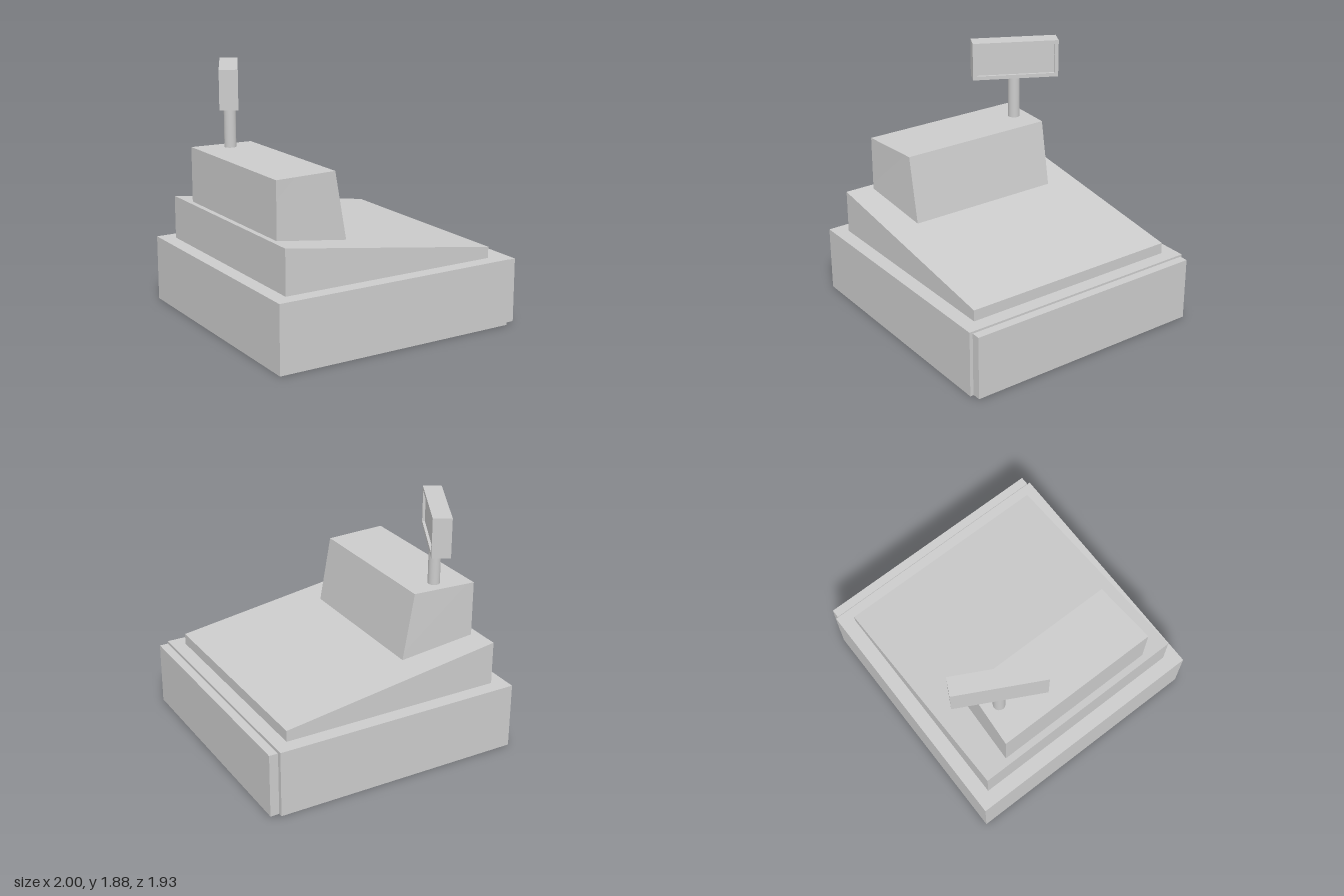
import * as THREE from 'three';

const material = new THREE.MeshStandardMaterial({ color: 0xcccccc });

function add(parent, name, geometry, x = 0, y = 0, z = 0) {
  const mesh = new THREE.Mesh(geometry, material);
  mesh.name = name;
  mesh.position.set(x, y, z);
  parent.add(mesh);
  return mesh;
}

// Box given by its x and y limits, centred on z
function slab(parent, name, x0, x1, y0, y1, depth) {
  return add(parent, name, new THREE.BoxGeometry(x1 - x0, y1 - y0, depth), (x0 + x1) / 2, (y0 + y1) / 2, 0);
}

function rectPoints(w, h) {
  return [[-w, -h], [w, -h], [w, h], [-w, h]].map(([x, y]) => new THREE.Vector2(x / 2, y / 2));
}

export function createModel() {
  const model = new THREE.Group();
  model.name = 'cashRegister';

  // Cash drawer housing, with the drawer front standing off on a narrow neck
  slab(model, 'drawerHousing', -1, 0.925, 0, 0.505, 1.93);
  slab(model, 'drawerNeck', 0.92, 0.94, 0.05, 0.45, 1.81);
  slab(model, 'drawerFront', 0.933, 1, 0.01, 0.495, 1.89);

  // Sloping keyboard body
  const profile = new THREE.Shape([[-0.89, 0.505], [0.82, 0.505], [0.82, 0.59], [-0.89, 0.838]]
    .map(([x, y]) => new THREE.Vector2(x, y)));
  const body = new THREE.ExtrudeGeometry(profile, { depth: 1.71, bevelEnabled: false });
  add(model, 'slopingBody', body, 0, 0, -0.855);

  // Tower: a box tapered to the front, its foot following the slope
  const tower = new THREE.BoxGeometry(1, 1, 1);
  const p = tower.attributes.position;
  for (let i = 0; i < p.count; i++) {
    const front = p.getX(i) > 0, top = p.getY(i) > 0;
    const x = front ? (top ? -0.35 : -0.26) : -0.837;
    const y = top ? 1.252 : (front ? 0.746 : 0.829);
    p.setXYZ(i, x, y, Math.sign(p.getZ(i)) * (front ? 0.613 : 0.647));
  }
  tower.computeVertexNormals();
  add(model, 'tower', tower);

  // Pole carrying the customer display
  add(model, 'displayPole', new THREE.CylinderGeometry(0.045, 0.045, 0.36, 24), -0.58, 1.42, -0.508);

  // Turned display: a solid case with a raised rim around the screen
  const display = new THREE.Group();
  display.name = 'display';
  display.position.set(-0.581, 1.732, -0.514);
  display.rotation.y = -0.48;
  model.add(display);
  const w = 0.67, h = 0.295, thick = 0.137, rim = 0.03, recess = 0.02;
  slab(display, 'displayCase', -thick / 2, thick / 2 - recess, -h / 2, h / 2, w);
  const frame = new THREE.Shape(rectPoints(w, h));
  frame.holes.push(new THREE.Path(rectPoints(w - 2 * rim, h - 2 * rim).reverse()));
  const rimGeometry = new THREE.ExtrudeGeometry(frame, { depth: recess, bevelEnabled: false });
  rimGeometry.rotateY(Math.PI / 2);
  add(display, 'screenRim', rimGeometry, thick / 2 - recess, 0, 0);

  return model;
}
